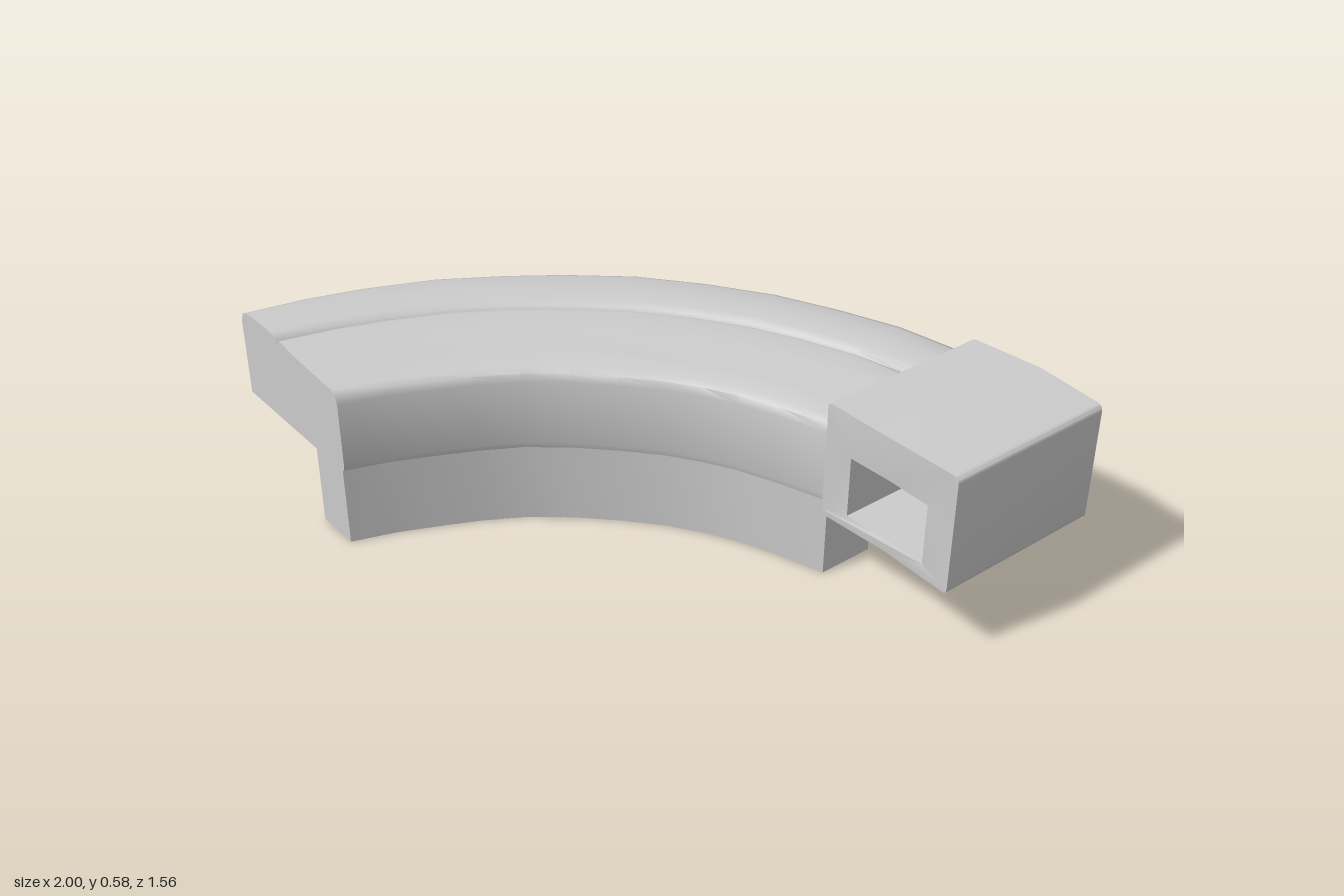
import * as THREE from 'three';
import { toCreasedNormals } from 'three/addons/utils/BufferGeometryUtils.js';

const material = new THREE.MeshStandardMaterial({ color: 0xcccccc, side: THREE.DoubleSide });

// Plan of the bend as [x, z] stations, from the free end to the end table.
const inner = [[-0.44, 0.775], [-0.396, 0.645], [-0.342, 0.527], [-0.29, 0.42], [-0.22, 0.3], [-0.128, 0.19],
  [-0.03, 0.094], [0.07, 0.008], [0.166, -0.056], [0.257, -0.104], [0.38, -0.152], [0.53, -0.2]];
const outer = [[-1, 0.775], [-0.963, 0.58], [-0.914, 0.414], [-0.824, 0.2], [-0.71, 0.02], [-0.6, -0.13],
  [-0.45, -0.3], [-0.273, -0.44], [-0.086, -0.56], [0.107, -0.645], [0.3, -0.714], [0.53, -0.751]];

// Cross-sections as [t, y]; t runs from the inner edge (0) to the outer edge (1).
const seatProfile = [[0.04, 0.25], [0.01, 0.255], [0, 0.275], [0, 0.48], [0.012, 0.505], [0.05, 0.517],
  [0.2, 0.522], [0.4, 0.53], [0.56, 0.542], [0.595, 0.537], [0.61, 0.522], [0.625, 0.54], [0.67, 0.549],
  [0.8, 0.552], [0.93, 0.55], [0.98, 0.538], [1, 0.51], [1, 0.26]];
const baseProfile = [[0.02, 0], [0.02, 0.255]];

function addMesh(group, name, geometry) {
  const mesh = new THREE.Mesh(geometry, material);
  mesh.name = name;
  group.add(mesh);
}

// Point on the bend at station i.
function place(i, [t, y]) {
  const [a, b] = [inner[i], outer[i]];
  return [a[0] + (b[0] - a[0]) * t, y, a[1] + (b[1] - a[1]) * t];
}

// Sweep an open profile along all stations.
function sweep(profile) {
  const positions = [], index = [], n = profile.length;
  for (let i = 0; i < inner.length; i++) {
    for (const p of profile) positions.push(...place(i, p));
    if (i === 0) continue;
    for (let j = 0; j < n - 1; j++) {
      const a = (i - 1) * n + j, b = i * n + j;
      index.push(a, b, a + 1, b, b + 1, a + 1);
    }
  }
  const g = new THREE.BufferGeometry();
  g.setAttribute('position', new THREE.Float32BufferAttribute(positions, 3));
  g.setIndex(index);
  return toCreasedNormals(g, 0.8);
}

// Flat panel with the given outline, standing across the bend at station i.
function cap(outline, i) {
  const g = new THREE.ShapeGeometry(new THREE.Shape(outline.map(([t, y]) => new THREE.Vector2(t, y))));
  const pos = g.attributes.position;
  for (let k = 0; k < pos.count; k++) pos.setXYZ(k, ...place(i, [pos.getX(k), pos.getY(k)]));
  // The free end faces the opposite way to the flat shape.
  if (i === 0) g.index.array.reverse();
  g.computeVertexNormals();
  return g;
}

// Hollow end table: a rounded frame with a window, its front and back gently bowed.
function tableGeometry() {
  const x0 = 0.524, x1 = 1, y0 = 0.21, y1 = 0.58, r = 0.018, mid = (x0 + x1) / 2;
  const shape = new THREE.Shape();
  shape.moveTo(x0 + r, y0);
  shape.lineTo(mid, y0);
  shape.lineTo(x1 - r, y0);
  shape.quadraticCurveTo(x1, y0, x1, y0 + r);
  shape.lineTo(x1, y1 - r);
  shape.quadraticCurveTo(x1, y1, x1 - r, y1);
  shape.lineTo(mid, y1);
  shape.lineTo(x0 + r, y1);
  shape.quadraticCurveTo(x0, y1, x0, y1 - r);
  shape.lineTo(x0, y0 + r);
  shape.quadraticCurveTo(x0, y0, x0 + r, y0);
  shape.holes.push(new THREE.Path([[0.615, 0.25], [0.615, 0.44], [mid, 0.44], [0.9, 0.44], [0.9, 0.25], [mid, 0.25]]
    .map(([x, y]) => new THREE.Vector2(x, y))));
  const g = new THREE.ExtrudeGeometry(shape, { depth: 1, bevelEnabled: false, curveSegments: 3 });
  const pos = g.attributes.position;
  for (let k = 0; k < pos.count; k++) {
    const u = (pos.getX(k) - mid) / (x1 - mid), bow = 1 - u * u;
    pos.setZ(k, pos.getZ(k) > 0.5 ? -0.197 - 0.012 * bow : -0.76 - 0.025 * bow);
  }
  return toCreasedNormals(g, 0.7);
}

export function createModel() {
  const group = new THREE.Group();
  group.name = 'curvedBench';
  const last = inner.length - 1;

  // Seat shell and its closed free end
  addMesh(group, 'seat', sweep(seatProfile));
  addMesh(group, 'seatEnd', cap(seatProfile, 0));

  // Skirt under the inner edge, with a short return panel at each end
  addMesh(group, 'baseFront', sweep(baseProfile));
  for (const [i, t] of [[0, 0.29], [last, 0.35]]) {
    addMesh(group, 'baseEnd', cap([[0.02, 0], [t, 0], [t, 0.255], [0.02, 0.255]], i));
  }

  // End table
  addMesh(group, 'endTable', tableGeometry());
  return group;
}
